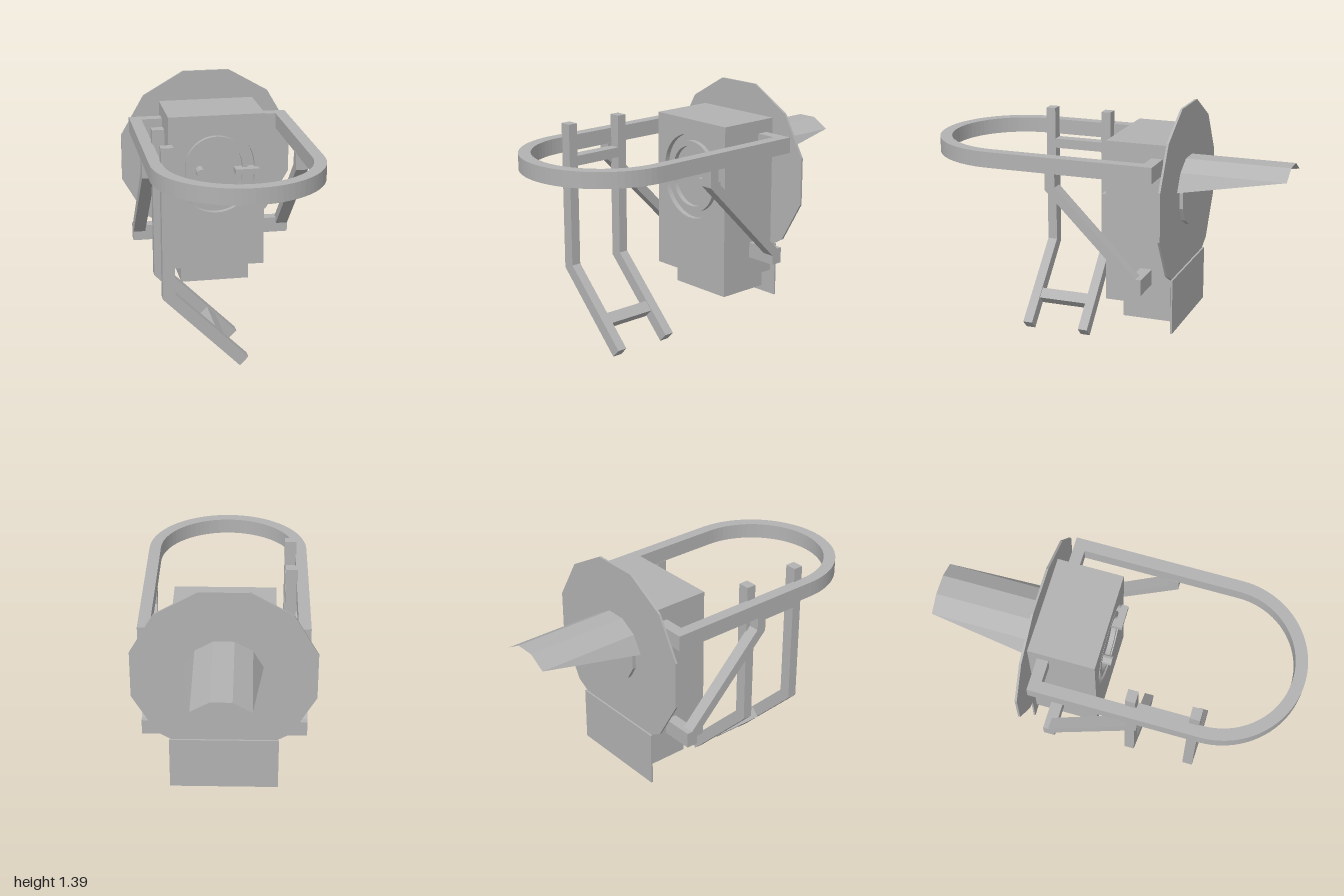
import * as THREE from 'three';

const grey = new THREE.MeshStandardMaterial({ color: 0xb2b2b2 });
grey.name = 'grey';
grey.flatShading = true;
grey.side = THREE.DoubleSide;

export function createModel() {
  const model = new THREE.Group();
  const CY = 0.907; // height of the hatch and dish axis

  const add = (name, geometry) => {
    const mesh = new THREE.Mesh(geometry, grey);
    mesh.name = name;
    model.add(mesh);
    return mesh;
  };
  // box given by its limits
  const box = (name, x0, x1, y0, y1, z0, z1) => {
    const m = add(name, new THREE.BoxGeometry(x1 - x0, y1 - y0, z1 - z0));
    m.position.set((x0 + x1) / 2, (y0 + y1) / 2, (z0 + z1) / 2);
    return m;
  };
  const polygon = (pts) => new THREE.Shape(pts.map(([x, y]) => new THREE.Vector2(x, y)));
  const extrude = (shape, depth) =>
    new THREE.ExtrudeGeometry(shape, { depth, bevelEnabled: false, curveSegments: 20 });
  // outline in x,y extruded between two z limits
  const slab = (name, shape, z0, z1) => {
    const m = add(name, extrude(shape, z1 - z0));
    m.position.z = z0;
    return m;
  };
  // slightly tall rounded outline
  const oval = (r, Type = THREE.Shape) => {
    const s = new Type();
    s.absarc(0, CY + 0.026, r, 0, Math.PI, false);
    s.absarc(0, CY - 0.026, r, Math.PI, Math.PI * 2, false);
    s.closePath();
    return s;
  };

  // main body with a recessed hatch in its front
  box('body', -0.27, 0.27, 0.345, 1.23, -0.42, -0.085);
  const face = polygon([[-0.27, 0.345], [0.27, 0.345], [0.27, 1.23], [-0.27, 1.23]]);
  face.holes.push(oval(0.213, THREE.Path));
  slab('bodyFront', face, -0.085, -0.055);
  const rim = oval(0.175);
  rim.holes.push(oval(0.145, THREE.Path));
  slab('hatchRim', rim, -0.085, -0.058);
  const knob = add('hatchKnob', new THREE.CylinderGeometry(0.027, 0.027, 0.07, 12));
  knob.rotation.x = Math.PI / 2;
  knob.position.set(-0.09, 0.91, -0.05);
  box('hatchLatch', 0.1, 0.235, 0.895, 0.925, -0.085, -0.017);

  // base block and rear plate
  box('baseBlock', -0.195, 0.195, 0.23, 0.345, -0.43, -0.13);
  box('rearPlate', -0.295, 0.295, 0.2, 0.505, -0.44, -0.43);

  // twelve-sided dish and port, flat side up
  const disc = (name, r, z0, z1) => {
    const g = new THREE.CylinderGeometry(r, r, z1 - z0, 12).rotateY(Math.PI / 12).rotateX(Math.PI / 2);
    add(name, g).position.set(0, CY, (z0 + z1) / 2);
  };
  disc('rearDisc', 0.508, -0.43, -0.418);
  disc('rearPort', 0.168, -0.45, -0.43);

  // rear hood: upper facets of a twelve-sided tube with slanted lower edges
  const at = (deg, z) => {
    const a = deg * Math.PI / 180;
    return [0.214 * Math.sin(a), CY + 0.214 * Math.cos(a), z];
  };
  const hood = [];
  [-45, -15, 15].forEach((d) => {
    const a = at(d, -0.43), b = at(d + 30, -0.43), c = at(d + 30, -1), e = at(d, -1);
    hood.push(...a, ...b, ...c, ...a, ...c, ...e);
  });
  hood.push(...at(-75, -0.43), ...at(-45, -0.43), ...at(-45, -1));
  hood.push(...at(45, -0.43), ...at(75, -0.43), ...at(45, -1));
  const hoodGeometry = new THREE.BufferGeometry();
  hoodGeometry.setAttribute('position', new THREE.Float32BufferAttribute(hood, 3));
  hoodGeometry.computeVertexNormals();
  add('rearHood', hoodGeometry);

  // U-shaped rail with arms returning to the body (drawn in x,z)
  const rail = new THREE.Shape();
  rail.moveTo(0.27, -0.37);
  rail.lineTo(0.45, -0.37);
  rail.absarc(0, 0.55, 0.45, 0, Math.PI, false);
  rail.lineTo(-0.45, -0.37);
  rail.lineTo(-0.27, -0.37);
  rail.lineTo(-0.27, -0.307);
  rail.lineTo(-0.385, -0.307);
  rail.absarc(0, 0.55, 0.385, Math.PI, 0, true);
  rail.lineTo(0.385, -0.307);
  rail.lineTo(0.27, -0.307);
  rail.closePath();
  add('handRail', extrude(rail, 0.086).rotateX(Math.PI / 2)).position.y = 1.157;

  // diagonal struts under the rail, with feet reaching the body
  const strut = polygon([[0.22, 1.075], [0.22, 0.98], [-0.25, 0.51], [-0.25, 0.458],
    [-0.315, 0.458], [-0.315, 0.545], [-0.285, 0.545], [0.165, 1.0], [0.165, 1.075]]);
  [-1, 1].forEach((s) => {
    const side = s > 0 ? 'left' : 'right';
    add(side + 'Strut', extrude(strut, 0.067).rotateY(-Math.PI / 2)).position.x = s > 0 ? 0.45 : -0.383;
    const inner = [s * 0.26, s * 0.39].sort((a, b) => a - b);
    box(side + 'StrutFoot', ...inner, 0.458, 0.545, -0.315, -0.25);
  });

  // ladder: two bent rails joined by two rungs
  const ladder = polygon([[-0.39, 1.235], [-0.39, 0.415], [0.02, 0.003], [0.066, 0.05],
    [-0.325, 0.44], [-0.325, 1.235]]);
  slab('ladderRailBack', ladder, 0.14, 0.195);
  slab('ladderRailFront', ladder, 0.48, 0.535);
  box('ladderUpperRung', -0.39, -0.325, 1.0, 1.055, 0.195, 0.48);
  const rung = box('ladderLowerRung', -0.132, -0.068, 0.131, 0.195, 0.195, 0.48);
  rung.rotation.z = Math.PI / 4;

  return model;
}
